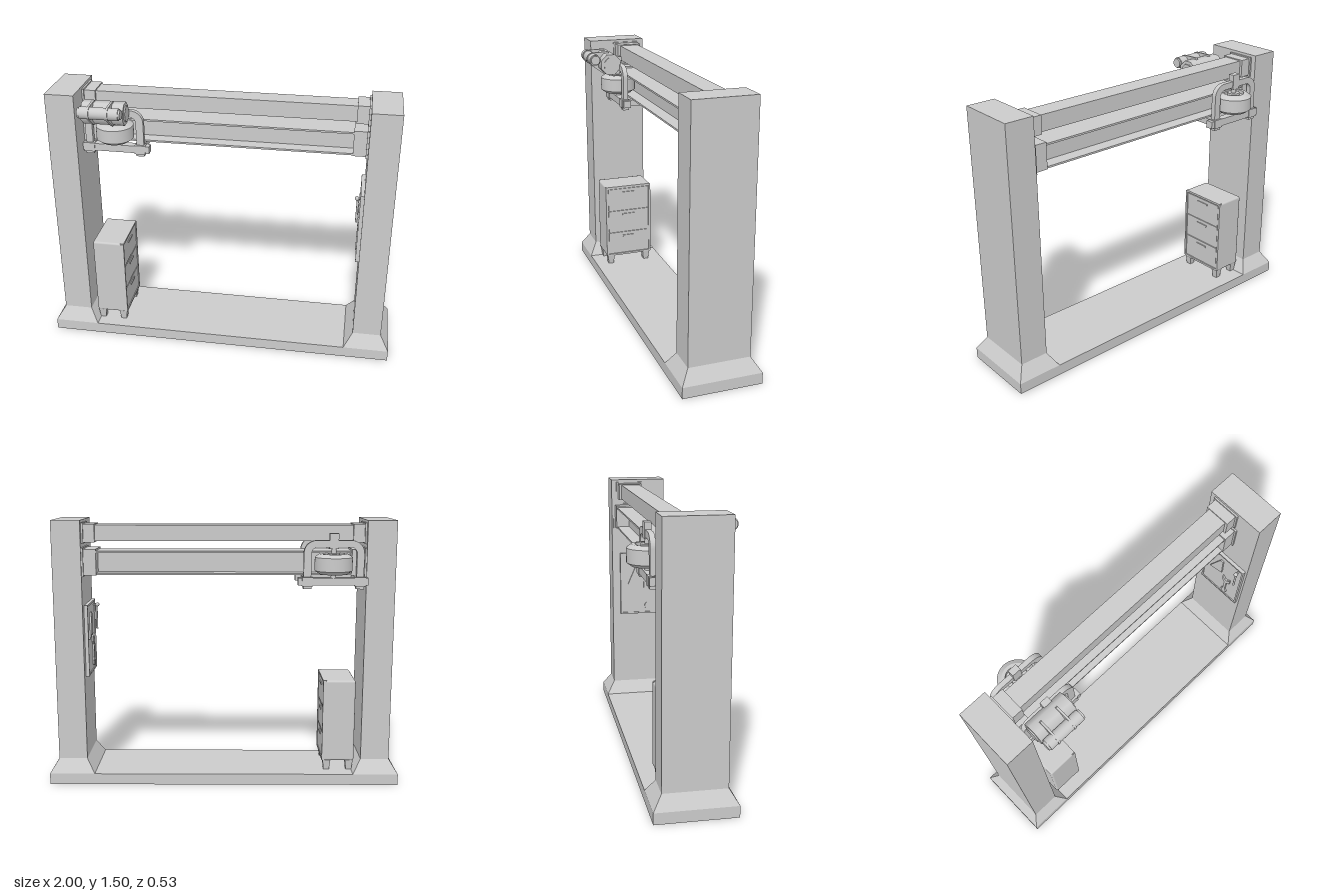
import * as THREE from 'three';
import { RoundedBoxGeometry } from 'three/addons/geometries/RoundedBoxGeometry.js';
import { toCreasedNormals } from 'three/addons/utils/BufferGeometryUtils.js';

const mat = new THREE.MeshStandardMaterial({ color: 0xcccccc });

function add(parent, name, geo) {
  const mesh = new THREE.Mesh(geo, mat);
  mesh.name = name;
  parent.add(mesh);
  return mesh;
}

function group(parent, name) {
  const g = new THREE.Group();
  g.name = name;
  parent.add(g);
  return g;
}

// Box given by its limits on each axis
function box(parent, name, [x0, x1], [y0, y1], [z0, z1], radius = 0) {
  const s = [x1 - x0, y1 - y0, z1 - z0];
  const m = add(parent, name, radius ? new RoundedBoxGeometry(...s, 2, radius) : new THREE.BoxGeometry(...s));
  m.position.set((x0 + x1) / 2, (y0 + y1) / 2, (z0 + z1) / 2);
  return m;
}

// Box whose bottom and top rectangles differ: [x0, x1, z0, z1]
function taper(parent, name, y0, y1, bottom, top) {
  const geo = new THREE.BoxGeometry(1, 1, 1);
  const p = geo.attributes.position;
  for (let i = 0; i < p.count; i++) {
    const up = p.getY(i) > 0, r = up ? top : bottom;
    p.setXYZ(i, r[p.getX(i) > 0 ? 1 : 0], up ? y1 : y0, r[p.getZ(i) > 0 ? 3 : 2]);
  }
  geo.computeVertexNormals();
  return add(parent, name, geo);
}

function rod(parent, name, r, length, x, y, z, axis = 'y', sides = 24) {
  const geo = new THREE.CylinderGeometry(r, r, length, sides);
  if (axis === 'x') geo.rotateZ(Math.PI / 2);
  if (axis === 'z') geo.rotateX(Math.PI / 2);
  const m = add(parent, name, geo);
  m.position.set(x, y, z);
  return m;
}

// Arch outline with rounded upper corners
function archPath(path, x0, x1, y0, y1, r) {
  path.moveTo(x0, y0);
  path.lineTo(x1, y0);
  path.lineTo(x1, y1 - r);
  path.absarc(x1 - r, y1 - r, r, 0, Math.PI / 2);
  path.lineTo(x0 + r, y1);
  path.absarc(x0 + r, y1 - r, r, Math.PI / 2, Math.PI);
  path.closePath();
  return path;
}

function buildGantry(root) {
  box(root, 'basePlate', [-1, 1], [0, 0.063], [-0.205, 0.235]);
  for (const s of [-1, 1]) {
    const span = (a, b) => (s > 0 ? [a, b] : [-b, -a]);
    taper(root, 'columnFoot', 0.063, 0.14, [...span(0.742, 1), -0.205, 0.235], [...span(0.79, 0.952), -0.155, 0.188]);
    box(root, 'column', span(0.79, 0.952), [0.14, 1.505], [-0.155, 0.188]);
    // Sockets holding the beam ends
    box(root, 'upperSocket', span(0.718, 0.785), [1.382, 1.483], [-0.115, 0.03]);
    box(root, 'upperSocketPlate', span(0.78, 0.792), [1.375, 1.49], [-0.125, 0.04]);
    box(root, 'lowerSocket', span(0.71, 0.785), [1.2, 1.345], [-0.135, 0.045]);
    box(root, 'lowerSocketPlate', span(0.78, 0.792), [1.193, 1.353], [-0.145, 0.055]);
  }
  box(root, 'upperBeam', [-0.72, 0.72], [1.388, 1.477], [-0.1, 0.015]);
  // Lower I-beam: the wheels run between its flanges
  box(root, 'beamWeb', [-0.715, 0.715], [1.212, 1.325], [-0.055, -0.035]);
  box(root, 'beamTopFlange', [-0.715, 0.715], [1.325, 1.335], [-0.13, 0.04]);
  box(root, 'beamBottomFlange', [-0.715, 0.715], [1.202, 1.212], [-0.13, 0.04]);
}

function buildTrolley(root) {
  const trolley = group(root, 'trolley');
  const cx = -0.605;
  const wheelProfile = [
    [0.012, 1.235], [0.06, 1.235], [0.06, 1.213], [0.078, 1.213], [0.104, 1.232],
    [0.104, 1.306], [0.078, 1.324], [0.06, 1.324], [0.06, 1.305], [0.012, 1.305],
  ].map(([r, y]) => new THREE.Vector2(r, y));

  for (const [z, side] of [[-0.163, -1], [0.068, 1]]) {
    // Arched side frame
    const shape = archPath(new THREE.Shape(), -0.772, -0.44, 1.17, 1.397, 0.07);
    shape.holes.push(archPath(new THREE.Path(), -0.732, -0.482, 1.18, 1.36, 0.035));
    const arch = add(trolley, 'archFrame', new THREE.ExtrudeGeometry(shape, { depth: 0.028, bevelEnabled: false, curveSegments: 8 }));
    arch.position.z = z - 0.014;
    box(trolley, 'sideRail', [-0.797, -0.41], [1.15, 1.192], [z - 0.022, z + 0.022]);
    box(trolley, 'archTab', [cx - 0.025, cx + 0.025], [1.35, 1.435], [z - 0.018, z + 0.018]);

    // Wheel on an upright axle
    const wheel = add(trolley, 'wheel', toCreasedNormals(new THREE.LatheGeometry(wheelProfile, 40), 0.4));
    wheel.position.set(cx, 0, z);
    rod(trolley, 'axle', 0.014, 0.21, cx, 1.275, z);
    rod(trolley, 'hub', 0.034, 0.115, cx, 1.268, z);
    for (const x of [-0.752, -0.462]) {
      box(trolley, 'railFoot', [x - 0.023, x + 0.023], [1.13, 1.172], [z - 0.018, z + 0.018]);
      box(trolley, 'railCap', [x - 0.03, x + 0.03], [1.145, 1.196], [z + side * 0.004 - 0.022, z + side * 0.004 + 0.022]);
    }
  }
  for (const x of [-0.752, -0.462])
    box(trolley, 'crossBar', [x - 0.018, x + 0.018], [1.152, 1.188], [-0.163, 0.068]);

  // Drive motor: faceted gearbox with a cylinder carried in front
  const motor = group(trolley, 'motor');
  rod(motor, 'gearbox', 0.065, 0.235, -0.637, 1.4, 0.135, 'x', 8).rotation.x = Math.PI / 8;
  rod(motor, 'gearboxCap', 0.045, 0.25, -0.637, 1.4, 0.135, 'x', 8).rotation.x = Math.PI / 8;
  rod(motor, 'motorCylinder', 0.033, 0.215, -0.637, 1.43, 0.23, 'x');
  for (const x of [-0.744, -0.53]) rod(motor, 'motorEndCap', 0.027, 0.022, x, 1.43, 0.23, 'x');

  // Strap looping around both motor bodies
  const strap = new THREE.Shape();
  strap.moveTo(-0.135, 1.47);
  strap.lineTo(-0.23, 1.467);
  strap.absarc(-0.23, 1.43, 0.037, Math.PI / 2, Math.PI * 1.3);
  strap.lineTo(-0.165, 1.335);
  strap.lineTo(-0.11, 1.335);
  strap.lineTo(-0.07, 1.39);
  const strapGeo = new THREE.ExtrudeGeometry(strap, { depth: 0.012, bevelEnabled: false, curveSegments: 10 });
  strapGeo.rotateY(Math.PI / 2);
  for (const x of [-0.7, -0.596]) add(motor, 'strap', strapGeo).position.x = x;
}

function buildCabinet(root) {
  const cabinet = group(root, 'drawerCabinet');
  box(cabinet, 'cabinetBody', [-0.755, -0.578], [0.12, 0.597], [-0.13, 0.17], 0.012);
  // Frame around the drawers
  for (const z of [-0.13, 0.158]) box(cabinet, 'frameSide', [-0.59, -0.569], [0.125, 0.592], [z, z + 0.012]);
  for (const y of [0.12, 0.585]) box(cabinet, 'frameEnd', [-0.59, -0.569], [y, y + 0.012], [-0.125, 0.165]);
  for (let i = 0; i < 3; i++) {
    const y = 0.136 + i * 0.15;
    box(cabinet, 'drawerFront', [-0.59, -0.572], [y, y + 0.143], [-0.113, 0.153]);
    box(cabinet, 'drawerHandle', [-0.575, -0.566], [y + 0.112, y + 0.122], [-0.02, 0.06]);
  }
  for (const x of [-0.728, -0.598])
    for (const z of [-0.1, 0.14])
      taper(cabinet, 'cabinetLeg', 0.063, 0.122, [x - 0.016, x + 0.016, z - 0.016, z + 0.016], [x - 0.023, x + 0.023, z - 0.023, z + 0.023]);
}

function buildToolBoard(root) {
  const board = group(root, 'toolBoard');
  box(board, 'boardPanel', [0.776, 0.792], [0.615, 1.025], [-0.105, 0.175]);
  for (const z of [-0.105, 0.165]) box(board, 'boardEdge', [0.77, 0.78], [0.615, 1.025], [z, z + 0.01]);
  for (const y of [0.615, 1.015]) box(board, 'boardEdge', [0.77, 0.78], [y, y + 0.01], [-0.105, 0.175]);

  // Flat tools, drawn in the board plane as (z, y)
  const flat = (name, points) => {
    const geo = new THREE.ExtrudeGeometry(new THREE.Shape(points.map(([z, y]) => new THREE.Vector2(-z, y))), { depth: 0.012, bevelEnabled: false });
    geo.rotateY(Math.PI / 2);
    add(board, name, geo).position.x = 0.766;
  };
  flat('setSquare', [[-0.055, 0.82], [0.035, 0.85], [0.03, 0.97], [0.01, 0.97]]);
  flat('spanner', [
    [0.06, 0.65], [0.085, 0.64], [0.095, 0.67], [0.083, 0.69], [0.083, 0.77], [0.105, 0.79], [0.105, 0.83],
    [0.085, 0.805], [0.07, 0.805], [0.05, 0.83], [0.05, 0.79], [0.068, 0.77], [0.068, 0.69], [0.055, 0.675],
  ]);
  // Hook with a hanging bar
  rod(board, 'hookPin', 0.005, 0.04, 0.762, 0.995, 0.14, 'x', 12);
  add(board, 'hookKnob', new THREE.SphereGeometry(0.012, 16, 10)).position.set(0.752, 0.995, 0.14);
  rod(board, 'hangingBar', 0.006, 0.145, 0.757, 0.922, 0.14, 'y', 12);
}

export function createModel() {
  const root = new THREE.Group();
  root.name = 'gantryHoist';
  buildGantry(root);
  buildTrolley(root);
  buildCabinet(root);
  buildToolBoard(root);
  return root;
}
